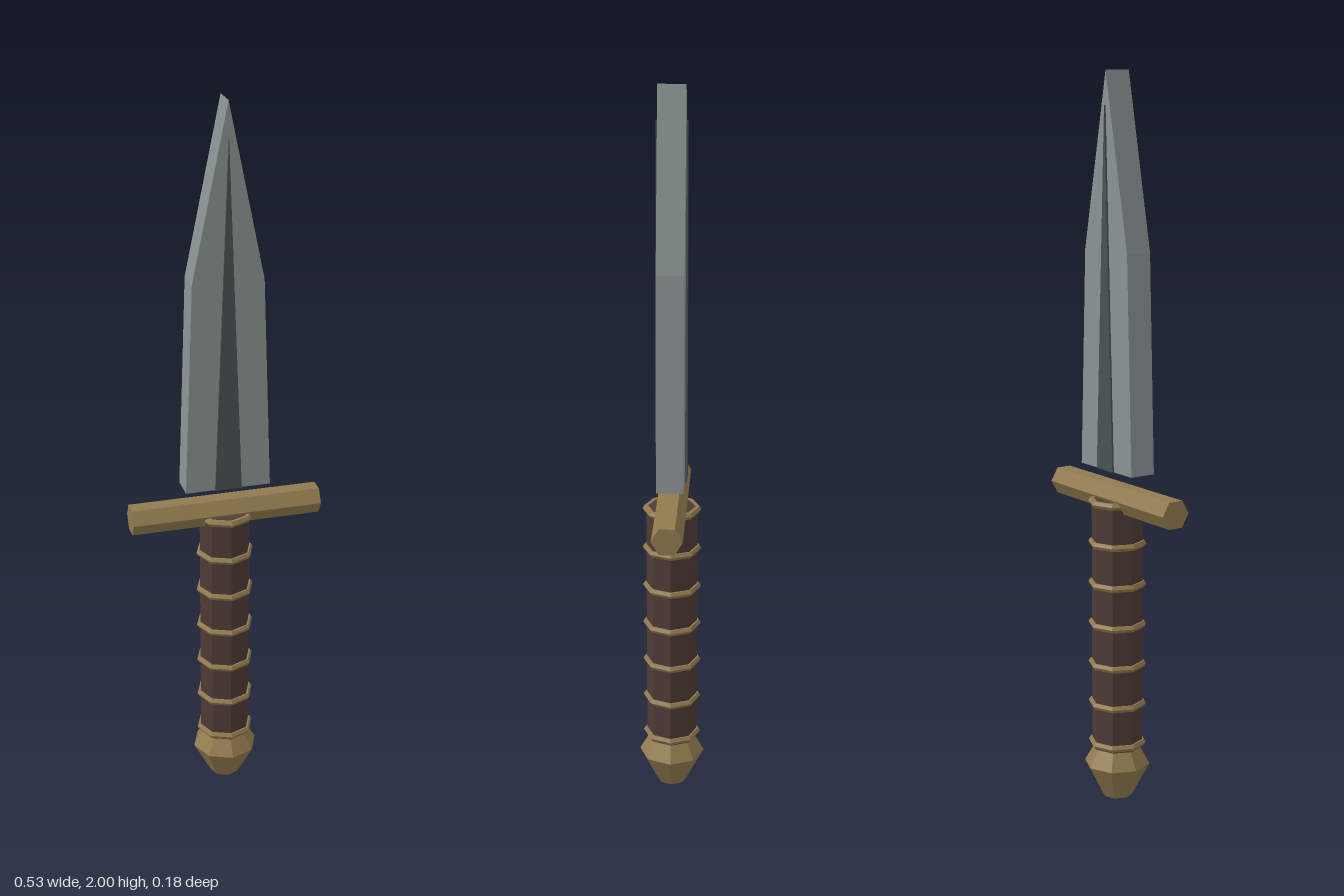
import * as THREE from 'three';

const mat = (name, color) => {
  const m = new THREE.MeshStandardMaterial({ color, flatShading: true });
  m.name = name;
  return m;
};

export function createModel() {
  const model = new THREE.Group();
  model.name = 'dagger';
  const steel = mat('steel', 0x8a9492);
  const darkSteel = mat('dark steel', 0x4a5256);
  const brass = mat('brass', 0x917a4e);
  const leather = mat('leather', 0x4d3b36);

  const add = (name, geometry, material, y = 0) => {
    const mesh = new THREE.Mesh(geometry, material);
    mesh.name = name;
    mesh.position.y = y;
    model.add(mesh);
    return mesh;
  };
  // Flat outline extruded evenly to both sides of z = 0
  const slab = (points, halfDepth) => {
    const shape = new THREE.Shape(points.map(([x, y]) => new THREE.Vector2(x, y)));
    const g = new THREE.ExtrudeGeometry(shape, { depth: halfDepth * 2, bevelEnabled: false });
    return g.translate(0, 0, -halfDepth);
  };
  // Octagonal turned part
  const turned = (points) =>
    new THREE.LatheGeometry(points.map(([r, y]) => new THREE.Vector2(r, y)), 8);

  // Blade and its slightly raised central strip
  add('blade', slab([[-0.118, 0.94], [0.118, 0.94], [0.097, 1.53], [0, 2], [-0.097, 1.53]], 0.037), steel);
  add('bladeRidge', slab([[-0.037, 0.94], [0.037, 0.94], [0, 1.91]], 0.042), darkSteel);

  // Hexagonal crossguard lying along x
  const guard = new THREE.CylinderGeometry(0.042, 0.042, 0.53, 6);
  guard.rotateZ(Math.PI / 2);
  add('crossguard', guard, brass, 0.862);

  // Octagonal grip with evenly spaced rings
  add('grip', new THREE.CylinderGeometry(0.071, 0.071, 0.71, 8), leather, 0.5);
  for (let i = 0; i < 7; i++) {
    const ring = new THREE.TorusGeometry(0.071, 0.01, 6, 8);
    ring.rotateX(Math.PI / 2);
    add('gripRing', ring, brass, 0.158 + i * 0.115);
  }

  // Faceted pommel
  add('pommel', turned([[0, 0], [0.042, 0], [0.092, 0.095], [0.062, 0.148], [0, 0.148]]), brass);

  return model;
}
